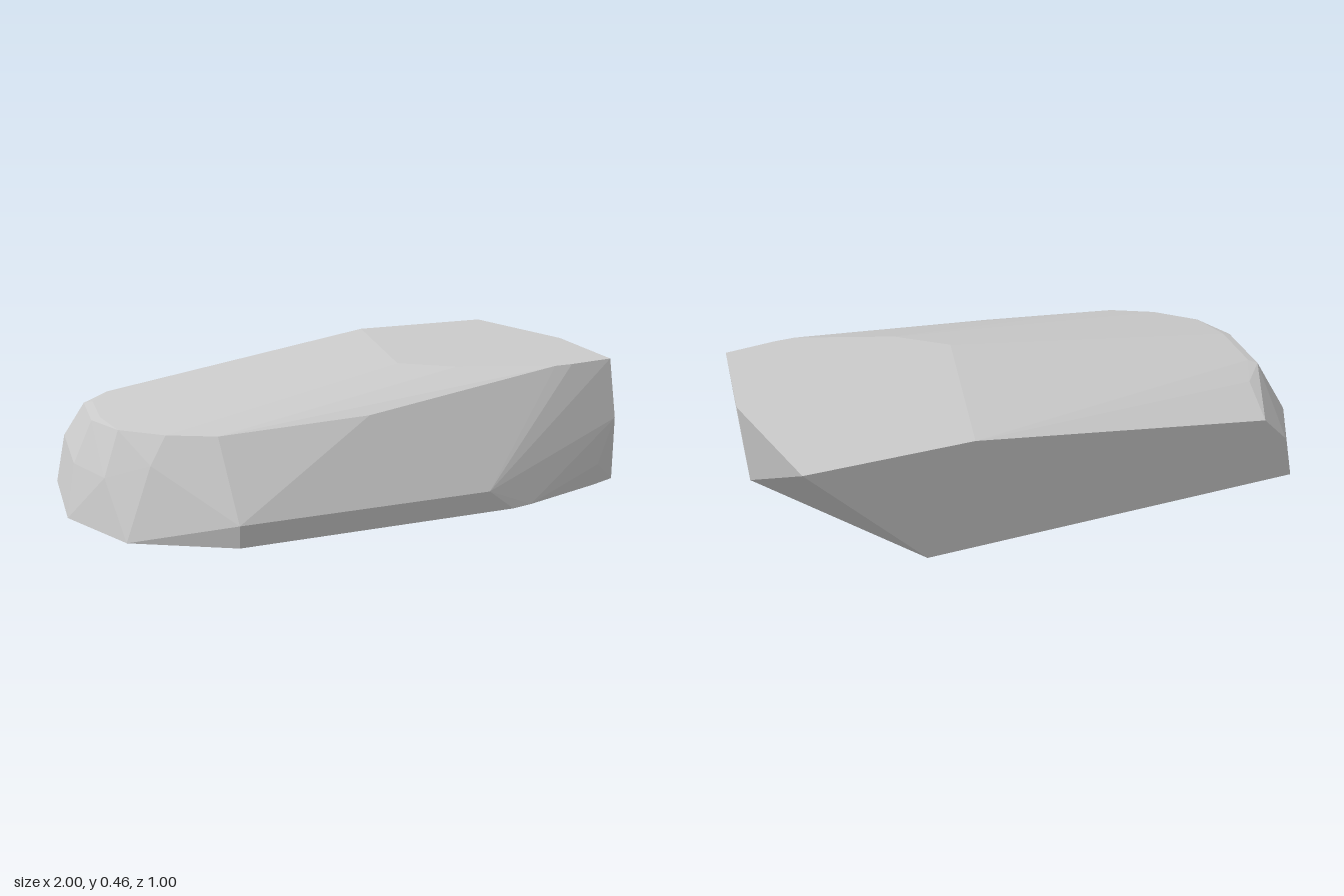
import * as THREE from 'three';
import { ConvexGeometry } from 'three/addons/geometries/ConvexGeometry.js';

const TOP = 0.455;

// Corners as [x, z] pairs lying on one level
const level = (y, pairs) => pairs.map(([x, z]) => new THREE.Vector3(x, y, z));

export function createModel() {
  const group = new THREE.Group();
  group.name = 'rock';

  const corners = [
    // flat underside
    ...level(0, [
      [1, 0.11], [0.48, -0.5], [-0.92, -0.5], [-1, -0.33], [-1, 0.05],
      [-0.84, 0.33], [-0.5, 0.495], [0.5, 0.495], [0.58, 0.48], [0.9, 0.39], [1, 0.355],
    ]),
    // low chamfer along the front
    ...level(0.08, [[-0.5, 0.5], [0.4, 0.5], [0.91, 0.39]]),
    // rounded left end and bulge of the right end
    ...level(0.18, [[-0.96, -0.33], [-0.96, 0], [-0.88, 0.18], [-0.87, -0.5]]),
    ...level(0.24, [[1, 0.345], [-0.74, 0.28]]),
    // shoulder around the left end
    ...level(0.285, [[-0.77, -0.5]]),
    ...level(0.33, [[-0.89, -0.22], [-0.89, 0], [-0.82, 0.14], [-0.68, 0.25], [-0.52, 0.32], [-0.8, -0.32]]),
    ...level(0.338, [[-0.86, -0.2], [-0.86, 0]]),
    // ridge above the front face
    ...level(0.36, [[0, 0.36]]),
    // flat top
    ...level(TOP, [
      [0.85, -0.5], [0.3, -0.5], [0.22, 0.08], [0.4, 0.2],
      [0.75, 0.31], [0.82, 0.308], [1, 0.285], [1, -0.07],
    ]),
  ];

  const stone = new THREE.Mesh(
    new ConvexGeometry(corners),
    new THREE.MeshStandardMaterial({ color: 0xcccccc, flatShading: true }),
  );
  stone.name = 'stone';
  group.add(stone);
  return group;
}
